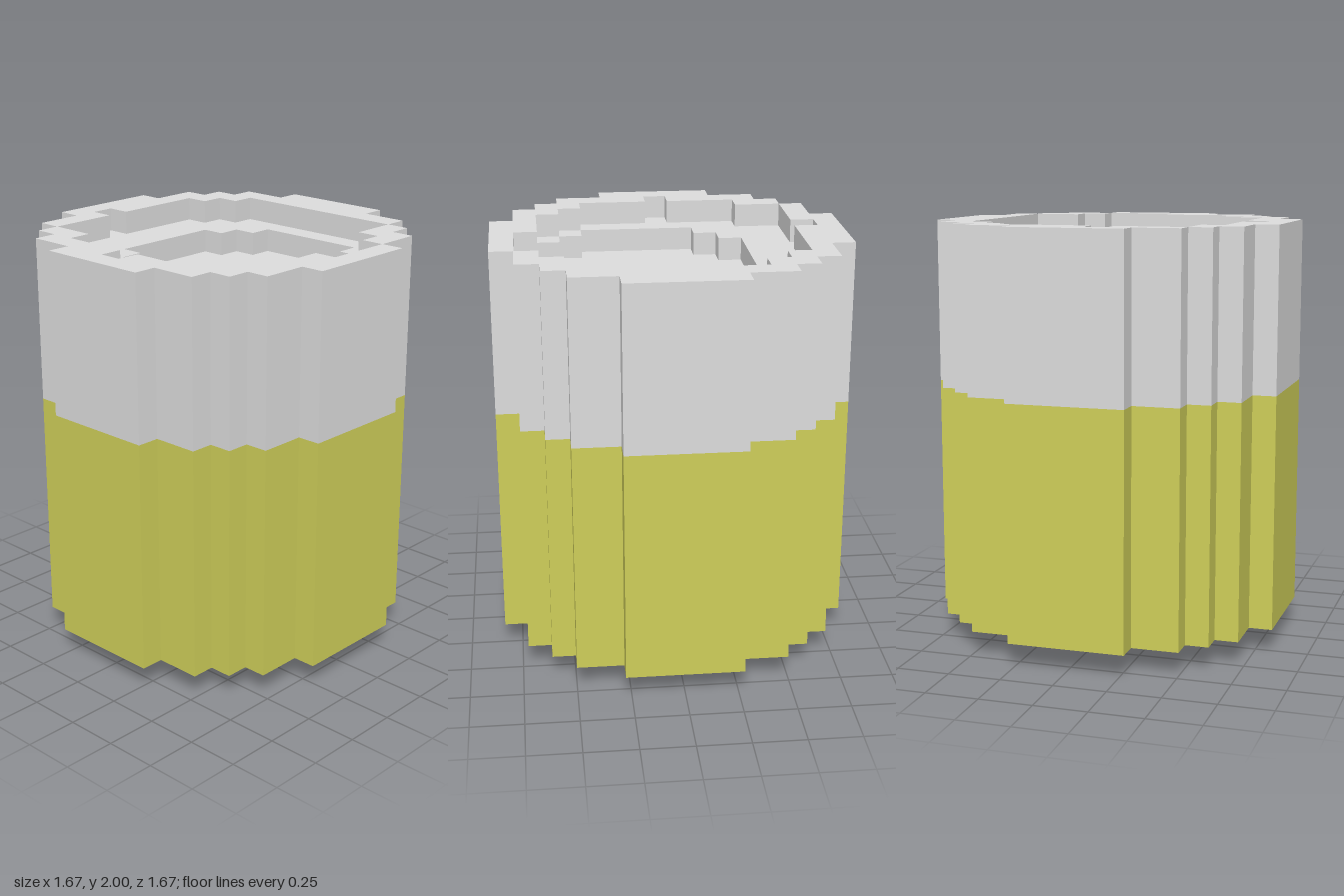
import * as THREE from 'three';

const U = 2 / 18; // one block

// Mirrors the stepped corner of one quadrant into a closed outline of [x, z] points.
function stepped(quadrant, cx = 0) {
  const back = [...quadrant].reverse();
  return [
    ...quadrant,
    ...back.map(([x, z]) => [-x, z]),
    ...quadrant.map(([x, z]) => [-x, -z]),
    ...back.map(([x, z]) => [x, -z]),
  ].map(([x, z]) => [x + cx, z]);
}

// Reversed to run counter-clockwise, so that walls of holes face inwards.
const toPoints = (outline, s = 1) =>
  outline.map(([x, z]) => new THREE.Vector2(x * U * s, -z * U * s)).reverse();

// A slab from block layer y0 to y1, optionally with a hole through it.
function slab(name, material, outline, y0, y1, hole) {
  const shape = new THREE.Shape(toPoints(outline));
  // shrunk by a hair so that the hole never touches the outer corners
  if (hole) shape.holes.push(new THREE.Path(toPoints(hole, 0.998)));
  const geometry = new THREE.ExtrudeGeometry(shape, { depth: (y1 - y0) * U, bevelEnabled: false });
  geometry.rotateX(-Math.PI / 2);
  geometry.translate(0, y0 * U, 0);
  const mesh = new THREE.Mesh(geometry, material);
  mesh.name = name;
  return mesh;
}

export function createModel() {
  const olive = new THREE.MeshStandardMaterial({ color: 0xcece59 });
  olive.name = 'olive yellow';
  const grey = new THREE.MeshStandardMaterial({ color: 0xdcdcdc });
  grey.name = 'light grey';

  const body = stepped([[7.5, 2.5], [6.5, 2.5], [6.5, 4.5], [5.5, 4.5], [5.5, 5.5],
    [4.5, 5.5], [4.5, 6.5], [2.5, 6.5], [2.5, 7.5]]);
  const foot = stepped([[3.5, 1.5], [2.5, 1.5], [2.5, 2.5], [1.5, 2.5], [1.5, 3.5]]);
  // deep hollow, one block off centre
  const hollow = stepped([[4.5, 2.5], [3.5, 2.5], [3.5, 3.5], [2.5, 3.5], [2.5, 4.5]], 1);
  // irregular shallow recess inside the rim
  const recess = [
    [-3.5, -5.5], [4.5, -5.5], [4.5, -3.5], [5.5, -3.5], [5.5, -2.5], [6.5, -2.5],
    [6.5, 0.5], [5.5, 0.5], [5.5, 3.5], [4.5, 3.5], [4.5, 4.5], [3.5, 4.5], [3.5, 5.5],
    [0.5, 5.5], [0.5, 6.5], [-0.5, 6.5], [-0.5, 5.5], [-3.5, 5.5], [-3.5, 4.5], [-5.5, 4.5],
    [-5.5, 1.5], [-6.5, 1.5], [-6.5, 0.5], [-5.5, 0.5], [-5.5, -3.5], [-4.5, -3.5],
    [-4.5, -4.5], [-3.5, -4.5],
  ];

  const group = new THREE.Group();
  group.name = 'steppedCartridge';
  group.add(
    slab('foot', olive, foot, 0, 1),
    slab('lowerBody', olive, body, 1, 11),
    slab('upperBody', grey, body, 11, 16),
    slab('innerLedge', grey, body, 16, 17, hollow),
    slab('rim', grey, body, 17, 18, recess),
  );
  return group;
}
